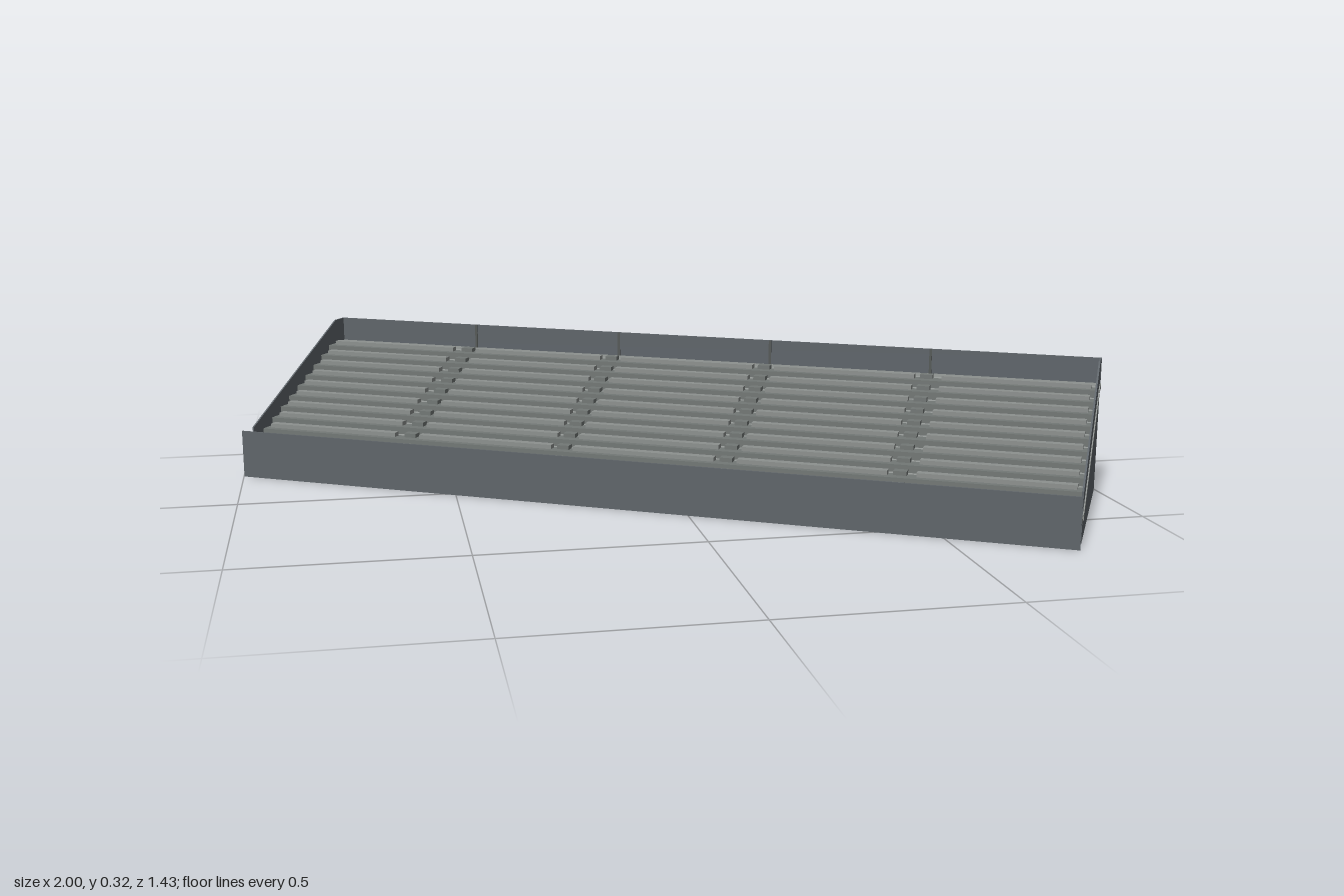
import * as THREE from 'three';

const mat = (name, color) => {
  const m = new THREE.MeshStandardMaterial({ color });
  m.name = name;
  return m;
};

export function createModel() {
  const wallGrey = mat('wall grey', 0x5f656a);
  const concrete = mat('concrete', 0x8d918f);
  const treadGrey = mat('tread grey', 0x737876);
  const steel = mat('steel', 0x555957);

  const model = new THREE.Group();
  model.name = 'grandstand';
  const stand = new THREE.Group();
  stand.name = 'stand';
  stand.rotation.y = -0.5095; // the stand sits diagonally
  model.add(stand);

  const half = 1, front = 0.258, foot = 0.212; // half length, half depth, slope ends
  const low = 0.066, high = 0.26;              // deck heights
  const rows = 10, run = 2 * foot / rows, rise = (high - low) / rows;

  const add = (name, geometry, material) => {
    const mesh = new THREE.Mesh(geometry, material);
    mesh.name = name;
    stand.add(mesh);
    return mesh;
  };
  const box = (name, w, h, d, x, y, z, material) => {
    add(name, new THREE.BoxGeometry(w, h, d), material).position.set(x, y, z);
  };
  // Extrude a (z, y) outline along x, centred on x
  const profile = (name, points, width, x, material) => {
    const shape = new THREE.Shape(points.map(p => new THREE.Vector2(...p)));
    const g = new THREE.ExtrudeGeometry(shape, { depth: width, bevelEnabled: false });
    g.translate(0, 0, -width / 2).rotateY(-Math.PI / 2).translate(x, 0, 0);
    add(name, g, material);
  };

  // Deck slab: lower walkway, slope and upper walkway
  const t = 0.013;
  profile('deckSlab', [
    [front - 0.004, low], [foot, low], [-foot, high], [-front, high],
    [-front, high - t], [-foot, high - t], [foot, low - t], [front - 0.004, low - t],
  ], 2 * half, 0, concrete);

  // Stepped treads on the slope
  const steps = [[foot, low - 0.002]];
  for (let i = 0; i < rows; i++) {
    const z = foot - i * run;
    steps.push([z, low + (i + 1) * rise - 0.002], [z - run, low + (i + 1) * rise - 0.002]);
  }
  profile('treads', steps, 2 * half - 0.01, 0, treadGrey);

  // Benches in five blocks, with half steps in the aisles between
  const bays = [-0.8, -0.4, 0, 0.4, 0.8];
  const aisles = [-0.6, -0.2, 0.2, 0.6];
  for (let i = 0; i < rows; i++) {
    const y = low + (i + 1) * rise;
    const z = foot - (i + 0.5) * run;
    for (const x of bays) {
      const end = Math.abs(x) > 0.7 ? Math.sign(x) * 0.01 : 0;
      box('bench', 0.345, 0.01, 0.02, x + end, y + 0.003, z - 0.004, concrete);
    }
    for (const x of aisles) box('aisleStep', 0.03, rise / 2, run / 2, x, y + rise / 4 - 0.002, z - run / 4, treadGrey);
  }

  // Front wall and rear parapet
  box('frontWall', 2 * half, 0.115, 0.004, 0, 0.0575, front - 0.002, wallGrey);
  box('rearParapet', 2 * half, 0.32 - high, 0.004, 0, (0.32 + high) / 2, -front + 0.002, wallGrey);

  // Side walls, leaving a gap behind the front wall
  const side = [[foot, 0], [foot, 0.115], [-foot, 0.32], [-front, 0.32], [-front, 0]];
  for (const s of [-1, 1]) {
    profile('sideWall', side, 0.004, s * (half - 0.003), wallGrey);
    // Deck edge showing on the outside of the wall
    profile('deckEdge', [
      [foot, low], [-foot, high], [-front, high],
      [-front, high - t], [-foot, high - t], [foot, low - t],
    ], 0.003, s * half, concrete);
  }

  // Posts under the stand and parapet stiffeners
  for (const x of [-0.99, ...aisles, 0.99]) {
    box('rearPost', 0.01, 0.25, 0.01, x, 0.125, -0.252, steel);
    box('frontPost', 0.01, 0.118, 0.01, x, 0.059, 0.066, steel);
    if (Math.abs(x) < 0.9) box('parapetStiffener', 0.006, 0.06, 0.004, x, 0.29, -0.253, steel);
  }

  // Rear rails
  box('middleRail', 2 * half - 0.01, 0.006, 0.006, 0, 0.118, -0.252, steel);
  box('upperRail', 2 * half - 0.01, 0.008, 0.008, 0, 0.236, -0.25, steel);

  return model;
}
